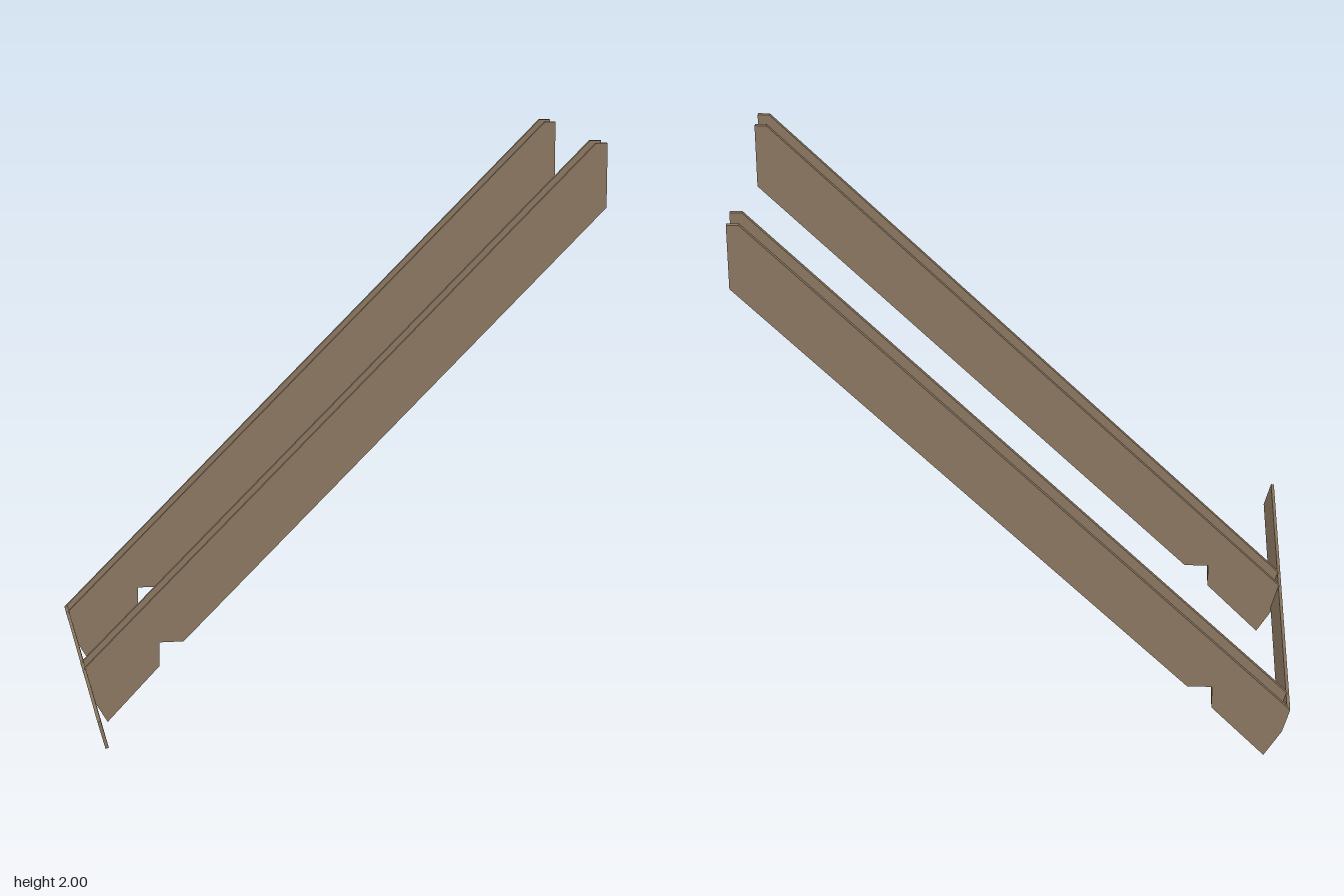
import * as THREE from 'three';

const wood = new THREE.MeshStandardMaterial({ color: 0x8b7760 });
wood.name = 'weathered wood';

// Extrudes a profile in the x-y plane from z0 to z1
function slab(name, points, z0, z1) {
  const shape = new THREE.Shape(points.map(([x, y]) => new THREE.Vector2(x, y)));
  const geometry = new THREE.ExtrudeGeometry(shape, { depth: z1 - z0, bevelEnabled: false });
  geometry.translate(0, 0, z0);
  const mesh = new THREE.Mesh(geometry, wood);
  mesh.name = name;
  return mesh;
}

// Underside shared by the rafter sides and core: foot, seat notch, plumb-cut top
const underside = [
  [-0.9, 0.1], [-0.84, 0], [-0.655, 0.195], [-0.655, 0.28], [-0.57, 0.28], [0.925, 1.775],
];
const sideProfile = [[-0.925, 0.19], ...underside, [0.925, 2], [0.885, 2]];
const coreProfile = [[-0.906, 0.122], ...underside, [0.925, 1.955]];

// Sloping rafter with a groove along its upper edge
function rafter(name, z) {
  const group = new THREE.Group();
  group.name = name;
  const half = 0.0525, inner = 0.0375;
  group.add(
    slab('rafterSideFront', sideProfile, inner, half),
    slab('rafterSideBack', sideProfile, -half, -inner),
    slab('rafterCore', coreProfile, -inner, inner),
  );
  group.position.z = z;
  return group;
}

export function createModel() {
  const model = new THREE.Group();
  model.name = 'rafterFrame';
  model.add(rafter('frontRafter', 0.0735), rafter('backRafter', -0.6975));

  // Thin tilted board joining the rafter feet
  const board = [[-0.925, 0.193], [-0.9, 0.101], [-0.889, 0.104], [-0.914, 0.196]];
  model.add(slab('fasciaBoard', board, -0.736, 0.75));
  return model;
}
